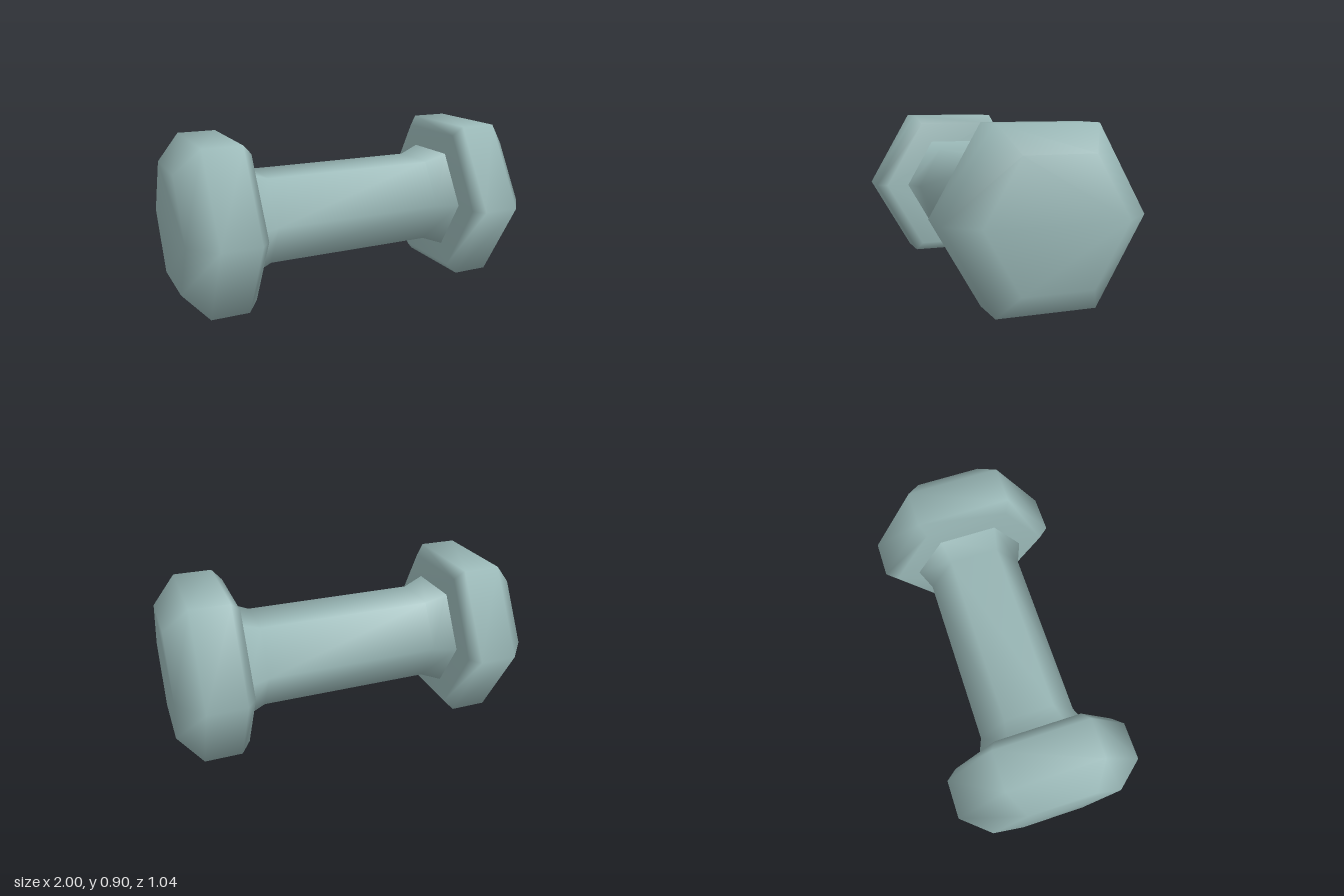
import * as THREE from 'three';

const SIDES = 6;

// Smooth hexagonal solid along x from [x, radius] rings, with flat end caps if wanted
function hexSolid(profile, capped) {
  const positions = [], index = [];
  for (const [x, r] of profile) {
    for (let j = 0; j < SIDES; j++) {
      const a = (j / SIDES) * Math.PI * 2;
      positions.push(x, r * Math.sin(a), -r * Math.cos(a));
    }
  }
  for (let i = 0; i < profile.length - 1; i++) {
    for (let j = 0; j < SIDES; j++) {
      const a = i * SIDES + j, b = i * SIDES + (j + 1) % SIDES;
      index.push(a, b, a + SIDES, b, b + SIDES, a + SIDES);
    }
  }
  if (capped) {
    const end = (profile.length - 1) * SIDES;
    for (let k = 1; k < SIDES - 1; k++) {
      index.push(0, k + 1, k, end, end + k, end + k + 1);
    }
  }
  const geometry = new THREE.BufferGeometry();
  geometry.setAttribute('position', new THREE.Float32BufferAttribute(positions, 3));
  geometry.setIndex(index);
  geometry.computeVertexNormals();
  return geometry;
}

export function createModel() {
  const group = new THREE.Group();
  group.name = 'dumbbell';
  const metal = new THREE.MeshStandardMaterial({ name: 'greyTealMetal', color: 0x9ab8b7 });

  // Handle, flared where it meets the weights
  const handle = new THREE.Mesh(
    hexSolid([[-0.61, 0.323], [-0.49, 0.274], [0.49, 0.274], [0.61, 0.323]], false), metal);
  handle.name = 'handle';
  handle.position.y = 0.45;
  group.add(handle);

  // Bevelled hexagonal weights, one at each end
  const weightGeometry = hexSolid([[0.61, 0.459], [0.66, 0.52], [0.87, 0.52], [1, 0.366]], true);
  for (const side of ['left', 'right']) {
    const weight = new THREE.Mesh(weightGeometry, metal);
    weight.name = side + 'Weight';
    weight.position.y = 0.45;
    if (side === 'right') weight.rotation.y = Math.PI;
    group.add(weight);
  }
  return group;
}
